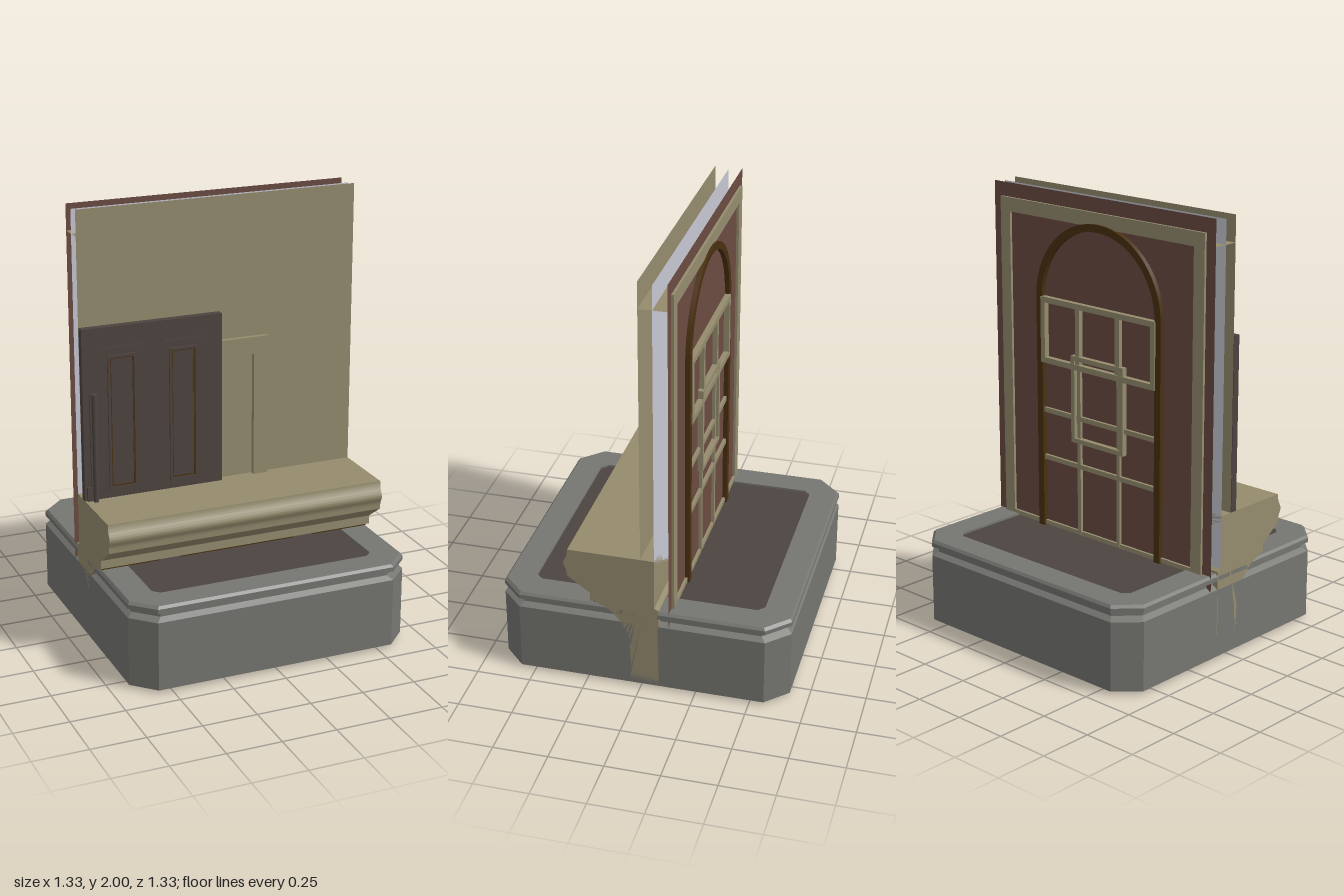
import * as THREE from 'three';
import { toCreasedNormals } from 'three/addons/utils/BufferGeometryUtils.js';

const mat = (name, color) => {
  const m = new THREE.MeshStandardMaterial({ color, side: THREE.DoubleSide });
  m.name = name;
  return m;
};

export function createModel() {
  const plaster = mat('tan plaster', 0x958c6e);
  const stone = mat('grey stone', 0x757571);
  const wood = mat('dark wood', 0x4d4440);
  const brick = mat('red brown wall', 0x6a4b41);
  const trim = mat('brown arch trim', 0x4a3010);
  const lining = mat('pale lining', 0xc8c8d4);

  const model = new THREE.Group();
  const W = 0.665;

  const add = (name, geometry, material, parent = model) => {
    const m = new THREE.Mesh(geometry, material);
    m.name = name;
    parent.add(m);
    return m;
  };
  // Box given by its limits on each axis
  const box = (name, material, x0, x1, y0, y1, z0, z1, parent) =>
    add(name, new THREE.BoxGeometry(x1 - x0, y1 - y0, z1 - z0)
      .translate((x0 + x1) / 2, (y0 + y1) / 2, (z0 + z1) / 2), material, parent);
  // Rectangular ring of four bars
  const frame = (name, material, x0, x1, y0, y1, z0, z1, t, parent = model) => {
    const g = new THREE.Group();
    g.name = name;
    parent.add(g);
    box(name + 'Left', material, x1 - t, x1, y0, y1, z0, z1, g);
    box(name + 'Right', material, x0, x0 + t, y0, y1, z0, z1, g);
    box(name + 'Top', material, x0 + t, x1 - t, y1 - t, y1, z0, z1, g);
    box(name + 'Bottom', material, x0 + t, x1 - t, y0, y0 + t, z0, z1, g);
  };
  const sheet = (name, material, y0, y1, z) => {
    const g = new THREE.PlaneGeometry(2 * W, y1 - y0);
    return add(name, g.translate(0, (y0 + y1) / 2, z), material);
  };

  // Plinth: open shell lofted through cut-corner squares [half size, cut, y]
  const octagon = (h, c) => [
    [h, h - c], [h - c, h], [c - h, h], [-h, h - c],
    [-h, c - h], [c - h, -h], [h - c, -h], [h, c - h]];
  const rings = [
    [W, 0.1, 0.015], [W, 0.1, 0.335], [0.64, 0.095, 0.352], [0.64, 0.095, 0.368],
    [W, 0.1, 0.378], [W, 0.1, 0.398], [0.655, 0.098, 0.41], [0.53, 0.03, 0.41], [0.53, 0.03, 0.4],
  ];
  const pos = [];
  for (let r = 0; r < rings.length - 1; r++) {
    const [h0, c0, y0] = rings[r], [h1, c1, y1] = rings[r + 1];
    const a = octagon(h0, c0), b = octagon(h1, c1);
    for (let i = 0; i < 8; i++) {
      const j = (i + 1) % 8;
      const A = [a[i][0], y0, a[i][1]], B = [a[j][0], y0, a[j][1]];
      const C = [b[j][0], y1, b[j][1]], D = [b[i][0], y1, b[i][1]];
      pos.push(...A, ...C, ...B, ...A, ...D, ...C);
    }
  }
  const shell = new THREE.BufferGeometry();
  shell.setAttribute('position', new THREE.Float32BufferAttribute(pos, 3));
  shell.computeVertexNormals();
  add('plinth', shell, stone);
  const floor = new THREE.Shape(octagon(0.53, 0.03).map(p => new THREE.Vector2(...p)));
  add('plinthFloor', new THREE.ShapeGeometry(floor).rotateX(-Math.PI / 2).translate(0, 0.4, 0), wood);
  add('baseDisc', new THREE.CylinderGeometry(0.305, 0.305, 0.014, 40).translate(0, 0.007, 0), wood);

  // Ledge: moulded side profile (z, y) drawn across the full width
  const profile = new THREE.Shape();
  profile.moveTo(-0.085, 0.015);
  profile.lineTo(0.05, 0.015);
  profile.splineThru([[0.045, 0.1], [0.055, 0.19], [0.05, 0.24], [0.075, 0.31], [0.13, 0.38], [0.2, 0.42]]
    .map(p => new THREE.Vector2(...p)));
  profile.lineTo(0.23, 0.425);
  profile.lineTo(0.23, 0.465);
  profile.lineTo(0.335, 0.54);
  profile.splineThru([[0.338, 0.57], [0.35, 0.605], [0.333, 0.645]].map(p => new THREE.Vector2(...p)));
  profile.lineTo(0.33, 0.675);
  profile.lineTo(-0.065, 0.675);
  profile.lineTo(-0.065, 0.43);
  profile.lineTo(-0.085, 0.42);
  const ledge = new THREE.ExtrudeGeometry(profile, { depth: 2 * W, bevelEnabled: false, curveSegments: 14 });
  ledge.rotateY(-Math.PI / 2).translate(W, 0, 0);
  add('ledge', toCreasedNormals(ledge, 0.5), plaster);
  for (const [x0, x1] of [[-0.655, -0.38], [-0.28, 0.28], [0.38, 0.655]])
    box('ledgeUnderTrim', trim, x0, x1, 0.413, 0.424, 0.19, 0.215);

  // Layered wall sheets
  sheet('frontWall', plaster, 0.02, 2, -0.003);
  sheet('middleLining', lining, 0.02, 1.99, -0.065);
  sheet('backWall', brick, 0.02, 2, -0.13);
  add('wallCap', new THREE.PlaneGeometry(2 * W, 0.127).rotateX(-Math.PI / 2)
    .translate(0, 1.88, -0.0665), plaster);

  // Door with raised panels, lintel lines and a pull bar
  const door = new THREE.Group();
  door.name = 'door';
  model.add(door);
  box('doorLeaf', wood, -W, 0, 0.675, 1.475, 0, 0.034, door);
  for (const x of [-0.48, -0.188]) {
    frame('panelMoulding', wood, x - 0.068, x + 0.068, 0.715, 1.345, 0.03, 0.042, 0.012, door);
    frame('panelGroove', trim, x - 0.056, x + 0.056, 0.727, 1.333, 0.03, 0.036, 0.006, door);
    box('panelLintel', wood, x - 0.1, x + 0.1, 1.376, 1.384, 0.03, 0.038, door);
  }
  box('pullPlate', wood, -0.655, -0.6, 0.675, 0.74, 0.03, 0.045, door);
  box('pullStrip', wood, -0.635, -0.605, 0.675, 1.18, 0.03, 0.042, door);
  add('pullBar', new THREE.CylinderGeometry(0.012, 0.012, 0.505, 12).translate(-0.62, 0.928, 0.058), wood, door);

  // Casing beside the door
  box('casingPost', plaster, 0.165, 0.235, 0.675, 1.34, -0.003, 0.02);
  box('casingHead', plaster, 0, 0.165, 1.26, 1.34, -0.003, 0.02);

  // Arched opening: solid cores inside the wall and brown surround at the back
  const arch = (r, y0, Type) => {
    const s = new Type();
    s.moveTo(-r, y0);
    s.lineTo(r, y0);
    s.lineTo(r, 1.505);
    s.absarc(0, 1.505, r, 0, Math.PI, false);
    s.lineTo(-r, y0);
    return s;
  };
  const extrudeZ = (shape, z0, z1) => toCreasedNormals(new THREE.ExtrudeGeometry(shape,
    { depth: z1 - z0, bevelEnabled: false, curveSegments: 32 }).translate(0, 0, z0), 0.6);
  add('archCoreFront', extrudeZ(arch(0.375, 0.43, THREE.Shape), -0.08, -0.045), plaster);
  add('archCoreBack', extrudeZ(arch(0.38, 0.41, THREE.Shape), -0.125, -0.085), brick);
  box('wallCore', plaster, -0.4, 0.4, 0.68, 1.54, -0.045, -0.005);
  const surround = new THREE.Shape();
  surround.moveTo(0.38, 0.02);
  surround.lineTo(0.38, 1.505);
  surround.absarc(0, 1.505, 0.38, 0, Math.PI, false);
  surround.lineTo(-0.38, 0.02);
  surround.lineTo(-0.345, 0.02);
  surround.lineTo(-0.345, 1.505);
  surround.absarc(0, 1.505, 0.345, Math.PI, 0, true);
  surround.lineTo(0.345, 0.02);
  add('archSurround', extrudeZ(surround, -0.152, -0.13), trim);

  // Window bars
  frame('upperSash', plaster, -0.35, 0.35, 1.2, 1.51, -0.157, -0.131, 0.026);
  for (const x of [-0.122, 0.122]) {
    box('upperBar', plaster, x - 0.013, x + 0.013, 1.2, 1.5, -0.153, -0.131);
    box('lowerBar', plaster, x - 0.01, x + 0.01, 0.41, 1.2, -0.145, -0.131);
  }
  for (const y of [0.74, 0.97])
    box('crossBar', plaster, -0.345, 0.345, y - 0.011, y + 0.011, -0.145, -0.131);
  frame('centreSash', plaster, -0.16, 0.16, 0.855, 1.265, -0.156, -0.131, 0.022);

  // Flat border around the back wall
  box('borderTop', plaster, -0.615, 0.615, 1.87, 1.935, -0.143, -0.131);
  for (const s of [-1, 1])
    box('borderSide', plaster, s * 0.585 - 0.03, s * 0.585 + 0.03, 0.41, 1.87, -0.143, -0.131);
  box('borderBottom', plaster, -0.555, 0.555, 0.405, 0.425, -0.143, -0.131);

  return model;
}
